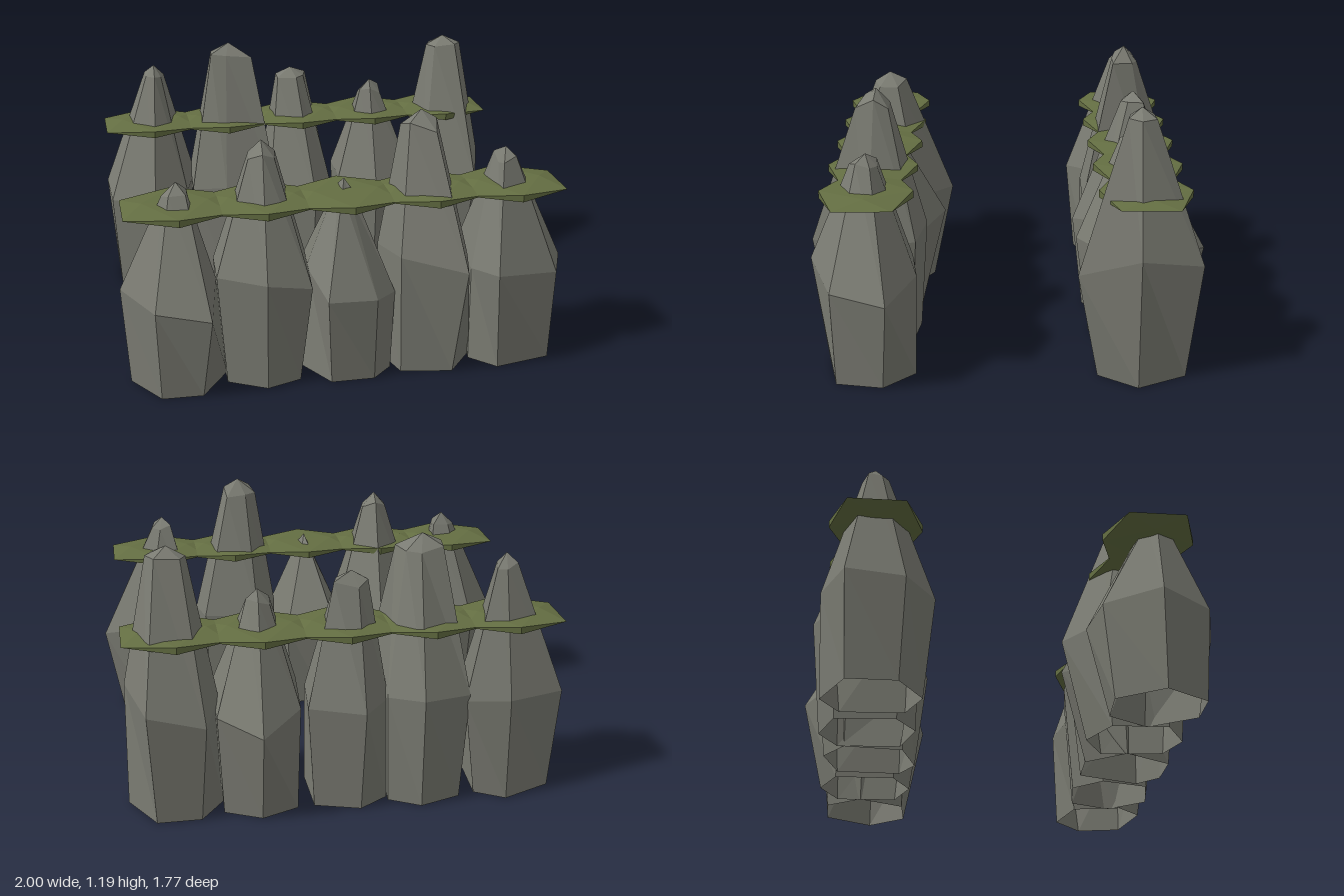
import * as THREE from 'three';

// Each rock: apex [x, y, z], size of the blunt tip in x and z, shoulder outline as x,y,z triples
const FRONT_ROCKS = [
  { apex: [-0.75, 0.92, 0.63], tip: [0.3, 0.17],
    ring: [-0.64, 0.38, 0.88, -0.87, 0.41, 0.82, -1, 0.44, 0.6, -0.86, 0.42, 0.37, -0.61, 0.42, 0.34, -0.59, 0.46, 0.6] },
  { apex: [-0.38, 1.06, 0.57], tip: [0.27, 0.25],
    ring: [-0.37, 0.47, 0.27, -0.58, 0.48, 0.43, -0.6, 0.51, 0.72, -0.4, 0.5, 0.83, -0.2, 0.45, 0.78, -0.17, 0.48, 0.43] },
  { apex: [-0.02, 0.86, 0.56], tip: [0.14, 0.22],
    ring: [-0.15, 0.42, 0.3, 0.09, 0.42, 0.38, 0.18, 0.37, 0.7, 0.08, 0.38, 0.8, -0.14, 0.4, 0.83, -0.19, 0.47, 0.58] },
  { apex: [0.31, 1.155, 0.58], tip: [0.37, 0.3],
    ring: [0.24, 0.5, 0.37, 0.5, 0.5, 0.41, 0.53, 0.48, 0.62, 0.46, 0.5, 0.87, 0.19, 0.55, 0.76, 0.14, 0.53, 0.53] },
  { apex: [0.69, 0.97, 0.6], tip: [0.2, 0.25],
    ring: [1, 0.4, 0.51, 0.79, 0.46, 0.39, 0.53, 0.45, 0.42, 0.53, 0.44, 0.68, 0.6, 0.47, 0.86, 0.9, 0.42, 0.75] },
];
const BACK_ROCKS = [
  { apex: [-0.73, 1.09, -0.59], tip: [0.2, 0.24],
    ring: [-0.72, 0.48, -0.8, -0.98, 0.47, -0.7, -0.97, 0.45, -0.45, -0.77, 0.45, -0.32, -0.6, 0.48, -0.42, -0.53, 0.47, -0.75] },
  { apex: [-0.36, 1.19, -0.57], tip: [0.45, 0.26],
    ring: [-0.33, 0.52, -0.84, -0.55, 0.5, -0.75, -0.57, 0.48, -0.44, -0.41, 0.5, -0.37, -0.15, 0.46, -0.37, -0.19, 0.5, -0.72] },
  { apex: [-0.05, 1.045, -0.59], tip: [0.42, 0.22],
    ring: [-0.08, 0.47, -0.82, -0.2, 0.48, -0.68, -0.18, 0.5, -0.42, 0.03, 0.44, -0.31, 0.13, 0.46, -0.43, 0.16, 0.48, -0.74] },
  { apex: [0.35, 0.97, -0.55], tip: [0.28, 0.2],
    ring: [0.37, 0.42, -0.89, 0.19, 0.48, -0.73, 0.17, 0.5, -0.43, 0.34, 0.46, -0.31, 0.55, 0.48, -0.4, 0.55, 0.46, -0.73] },
  { apex: [0.73, 1.18, -0.55], tip: [0.4, 0.22],
    ring: [0.6, 0.45, -0.81, 0.85, 0.52, -0.82, 0.93, 0.57, -0.55, 0.85, 0.48, -0.29, 0.6, 0.45, -0.38, 0.53, 0.5, -0.6] },
];
const BASE_RADIUS = 0.21;

function seeded(seed) {
  return () => (seed = (seed * 16807) % 2147483647) / 2147483647;
}

// Faceted hollow pillar: round open base, wide uneven shoulder, tapered blunt tip
function rockGeometry({ apex, tip, ring }, random) {
  const n = ring.length / 3;
  const shoulder = [];
  for (let i = 0; i < n; i++) shoulder.push(new THREE.Vector3().fromArray(ring, 3 * i));
  const centre = shoulder.reduce((s, p) => s.add(p), new THREE.Vector3()).divideScalar(n).setY(0);
  const angle = (p) => Math.atan2(p.z - centre.z, p.x - centre.x);
  shoulder.sort((a, b) => angle(a) - angle(b));

  const top = new THREE.Vector3(...apex);
  const base = shoulder.map((p) => p.clone().setY(0).sub(centre).setLength(BASE_RADIUS).add(centre));
  const crown = shoulder.map((p) => {
    const s = 0.85 + random() * 0.3;
    const drop = apex[1] * (0.03 + random() * 0.04);
    return new THREE.Vector3(
      top.x + (p.x - centre.x) * tip[0] * s, top.y - drop, top.z + (p.z - centre.z) * tip[1] * s);
  });

  const points = [];
  for (let i = 0; i < n; i++) {
    const j = (i + 1) % n;
    for (const [lo, hi] of [[base, shoulder], [shoulder, crown]]) {
      points.push(lo[i], hi[i], hi[j], lo[i], hi[j], lo[j]);
    }
    points.push(top, crown[j], crown[i]);
  }
  const geometry = new THREE.BufferGeometry().setFromPoints(points);
  geometry.computeVertexNormals();
  return geometry;
}

export function createModel() {
  const stone = new THREE.MeshStandardMaterial({ color: 0x7a7b72, flatShading: true, side: THREE.DoubleSide });
  stone.name = 'stone';
  const moss = new THREE.MeshStandardMaterial({ color: 0x646e42, flatShading: true });
  moss.name = 'moss';

  const model = new THREE.Group();
  model.name = 'rockRows';
  const random = seeded(4127);
  const mossGeometry = new THREE.IcosahedronGeometry(1, 0);

  for (const [name, rocks, z] of [['frontRow', FRONT_ROCKS, 0.6], ['backRow', BACK_ROCKS, -0.58]]) {
    const row = new THREE.Group();
    row.name = name;
    rocks.forEach((rock, i) => {
      const pillar = new THREE.Mesh(rockGeometry(rock, random), stone);
      pillar.name = `rock${i + 1}`;
      row.add(pillar);

      // Squashed overlapping moss pads form one ledge
      const pad = new THREE.Mesh(mossGeometry, moss);
      pad.name = `mossPad${i + 1}`;
      pad.position.set(-0.753 + i * 0.366, 0.797, z);
      pad.scale.set(0.265, 0.03, 0.235);
      row.add(pad);
    });
    model.add(row);
  }
  return model;
}
